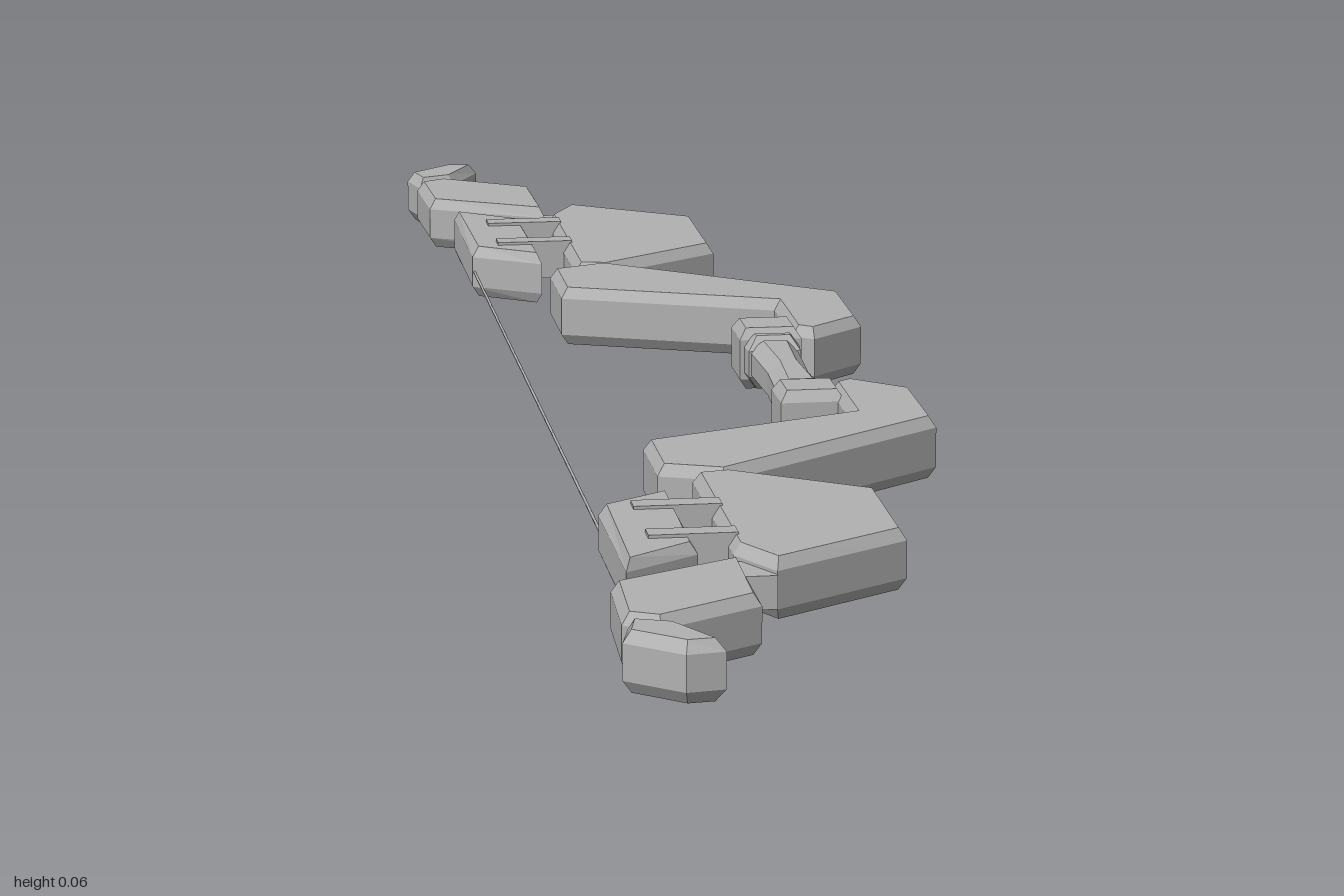
import * as THREE from 'three';

const grey = new THREE.MeshStandardMaterial({ color: 0xb2b2b2 });
grey.name = 'grey';

// Chamfered slab from an [x, z] outline, lying between heights bottom and top.
function slab(name, outline, bottom, top, side, size = 0.007, chamfer = 0.011) {
  const shape = new THREE.Shape(outline.map(([x, z]) => new THREE.Vector2(x, z * side)));
  const geometry = new THREE.ExtrudeGeometry(shape, {
    depth: top - bottom - 2 * chamfer,
    bevelEnabled: true,
    bevelSegments: 1,
    bevelSize: size,
    bevelOffset: -size,
    bevelThickness: chamfer,
  });
  geometry.rotateX(Math.PI / 2);
  geometry.translate(0, top - chamfer, 0);
  const mesh = new THREE.Mesh(geometry, grey);
  mesh.name = name;
  return mesh;
}

function box(name, x0, x1, y0, y1, z0, z1) {
  const mesh = new THREE.Mesh(new THREE.BoxGeometry(x1 - x0, y1 - y0, z1 - z0), grey);
  mesh.position.set((x0 + x1) / 2, (y0 + y1) / 2, (z0 + z1) / 2);
  mesh.name = name;
  return mesh;
}

// One limb; side +1 runs towards +z, -1 towards -z.
function createLimb(side) {
  const limb = new THREE.Group();
  limb.name = side > 0 ? 'frontLimb' : 'backLimb';

  limb.add(
    slab('limbTip', [[-0.193, 0.958], [-0.146, 1.0], [-0.112, 0.994], [-0.144, 0.93], [-0.183, 0.915]], 0.005, 0.059, side),
    slab('outerLimb', [[-0.187, 0.905], [-0.156, 0.922], [-0.063, 0.862], [-0.063, 0.735], [-0.183, 0.8]], 0.005, 0.059, side),
    slab('limbPlate', [[-0.034, 0.757], [0.093, 0.672], [0.093, 0.524], [-0.03, 0.438], [-0.064, 0.445], [-0.064, 0.7]], 0.004, 0.06, side),
    slab('innerArm', [[-0.093, 0.423], [-0.034, 0.447], [0.19, 0.275], [0.19, 0.153], [0.135, 0.104],
      [0.115, 0.12], [0.115, 0.238], [-0.093, 0.323]], 0.001, 0.061, side),
    slab('stringPlate', [[-0.162, 0.74], [-0.093, 0.69], [-0.093, 0.5], [-0.162, 0.545]], 0.005, 0.059, side),
    // Grip collars
    slab('collar', [[0.06, 0.164], [0.122, 0.164], [0.122, 0.105], [0.06, 0.105]], 0, 0.062, side),
    slab('gripRing', [[0.064, 0.112], [0.12, 0.112], [0.118, 0.084], [0.066, 0.084]], 0.004, 0.058, side, 0.01, 0.014),
  );

  // Joint between the outer limb and the plate
  limb.add(box('joint', -0.07, -0.034, 0.016, 0.046, side * 0.735 - 0.025, side * 0.735 + 0.025));

  // Bars that hold the string plate
  for (const z of [0.561, 0.661]) {
    limb.add(box('plateBar', -0.134, -0.055, 0.022, 0.062, side * z - 0.011, side * z + 0.011));
  }
  return limb;
}

export function createModel() {
  const bow = new THREE.Group();
  bow.name = 'bow';
  bow.add(createLimb(1), createLimb(-1));

  // Slightly waisted handle
  bow.add(slab('handle', [[0.068, 0.095], [0.116, 0.095], [0.112, 0], [0.116, -0.095],
    [0.068, -0.095], [0.072, 0]], 0.007, 0.055, 1, 0.012, 0.013));

  // Bowstring
  const string = new THREE.Mesh(new THREE.CylinderGeometry(0.0015, 0.0015, 1.46, 6), grey);
  string.rotation.x = Math.PI / 2;
  string.position.set(-0.16, 0.032, 0);
  string.name = 'bowstring';
  bow.add(string);
  return bow;
}
